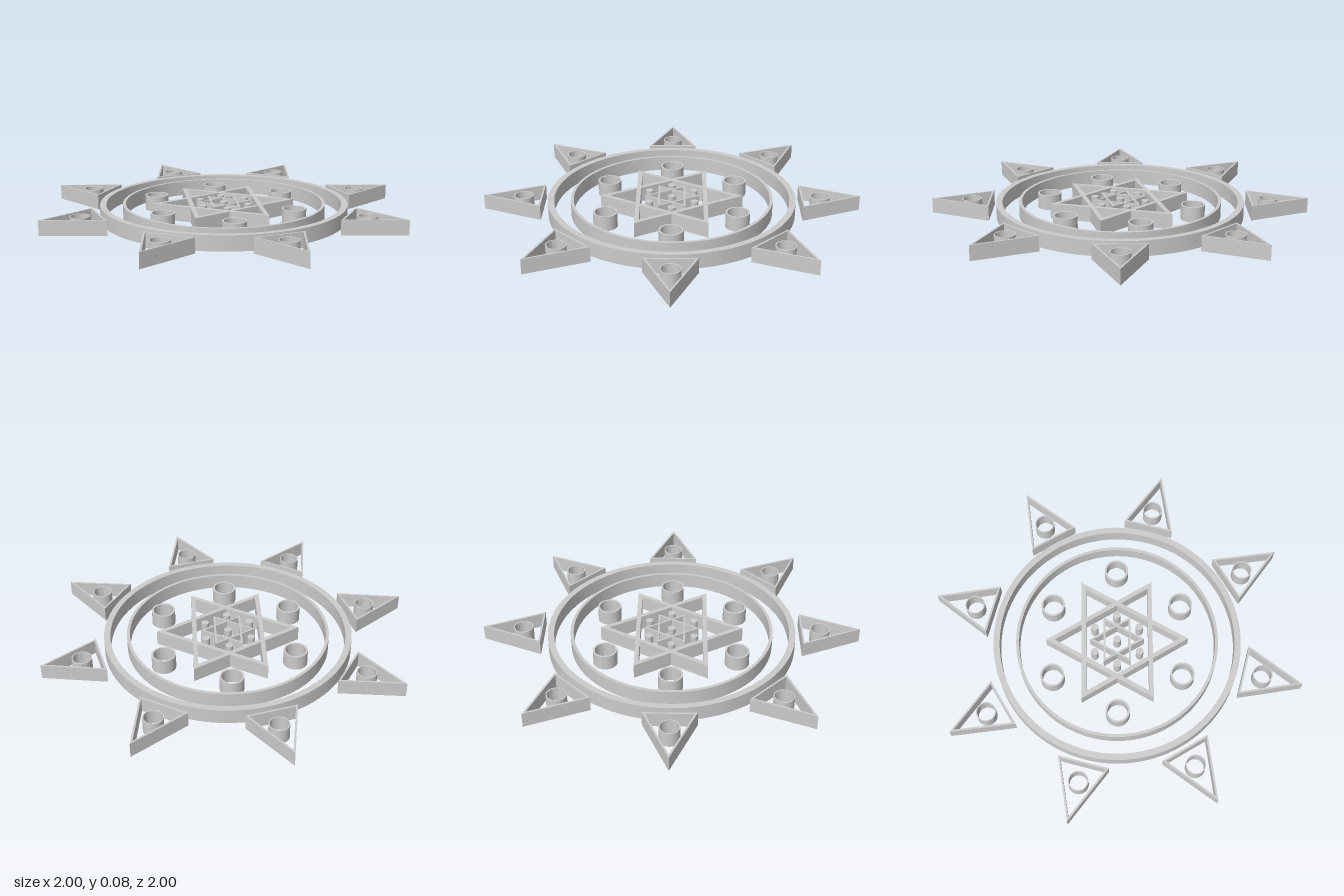
import * as THREE from 'three';
import { toCreasedNormals } from 'three/addons/utils/BufferGeometryUtils.js';

const HEIGHT = 0.08;
const material = new THREE.MeshStandardMaterial({ color: 0xcccccc });

// Lay a flat outline on the ground and raise it to the common height.
function raise(shape, name) {
  const flat = new THREE.ExtrudeGeometry(shape, { depth: HEIGHT, bevelEnabled: false, curveSegments: 48 });
  flat.rotateX(-Math.PI / 2);
  const mesh = new THREE.Mesh(toCreasedNormals(flat, 0.5), material);
  mesh.name = name;
  return mesh;
}

function ring(outer, inner, name) {
  const shape = new THREE.Shape().absarc(0, 0, outer, 0, Math.PI * 2, false);
  shape.holes.push(new THREE.Path().absarc(0, 0, inner, 0, Math.PI * 2, true));
  return raise(shape, name);
}

// Hollow isosceles triangle pointing to -z, with walls of even thickness.
function triangleFrame(apex, base, halfWidth, wall, name) {
  const h = apex - base;
  const inRadius = halfWidth * h / (halfWidth + Math.hypot(h, halfWidth));
  const center = new THREE.Vector2(0, base + inRadius);
  const outer = [[-halfWidth, base], [halfWidth, base], [0, apex]].map(p => new THREE.Vector2(...p));
  const inner = outer.map(p => p.clone().sub(center).multiplyScalar(1 - wall / inRadius).add(center));
  const shape = new THREE.Shape(outer);
  shape.holes.push(new THREE.Path(inner.reverse()));
  return raise(shape, name);
}

// Two equilateral frames turned against each other.
function sixPointStar(radius, wall, name) {
  const star = new THREE.Group();
  star.name = name;
  for (let i = 0; i < 2; i++) {
    const frame = triangleFrame(radius, -radius / 2, radius * Math.sqrt(3) / 2, wall, 'starTriangle');
    frame.rotation.y = i * Math.PI;
    star.add(frame);
  }
  return star;
}

function peg(x, z) {
  const mesh = new THREE.Mesh(new THREE.CylinderGeometry(0.02, 0.02, HEIGHT, 32), material);
  mesh.name = 'peg';
  mesh.position.set(x, HEIGHT / 2, z);
  return mesh;
}

export function createModel() {
  const model = new THREE.Group();
  model.name = 'sunMedallion';

  // Large concentric rings
  model.add(ring(0.655, 0.622, 'outerRing'), ring(0.535, 0.519, 'innerRing'));

  // Nested stars
  model.add(sixPointStar(0.377, 0.023, 'largeStar'), sixPointStar(0.144, 0.01, 'smallStar'));

  // Six tubes around the large star, six pegs around the small one, one in the middle
  model.add(peg(0, 0));
  for (let i = 0; i < 6; i++) {
    const a = i * Math.PI / 3;
    const tube = ring(0.063, 0.053, 'tube');
    tube.position.set(Math.cos(a) * 0.394, 0, Math.sin(a) * 0.394);
    model.add(tube, peg(Math.cos(a) * 0.137, Math.sin(a) * 0.137));
  }

  // Eight rays, each a hollow triangle around a thin tube
  for (let i = 0; i < 8; i++) {
    const ray = new THREE.Group();
    ray.name = 'ray';
    const tube = ring(0.052, 0.046, 'rayTube');
    tube.position.z = -0.787;
    ray.add(triangleFrame(1, 0.685, 0.135, 0.01, 'rayFrame'), tube);
    ray.rotation.y = i * Math.PI / 4;
    model.add(ray);
  }
  return model;
}
